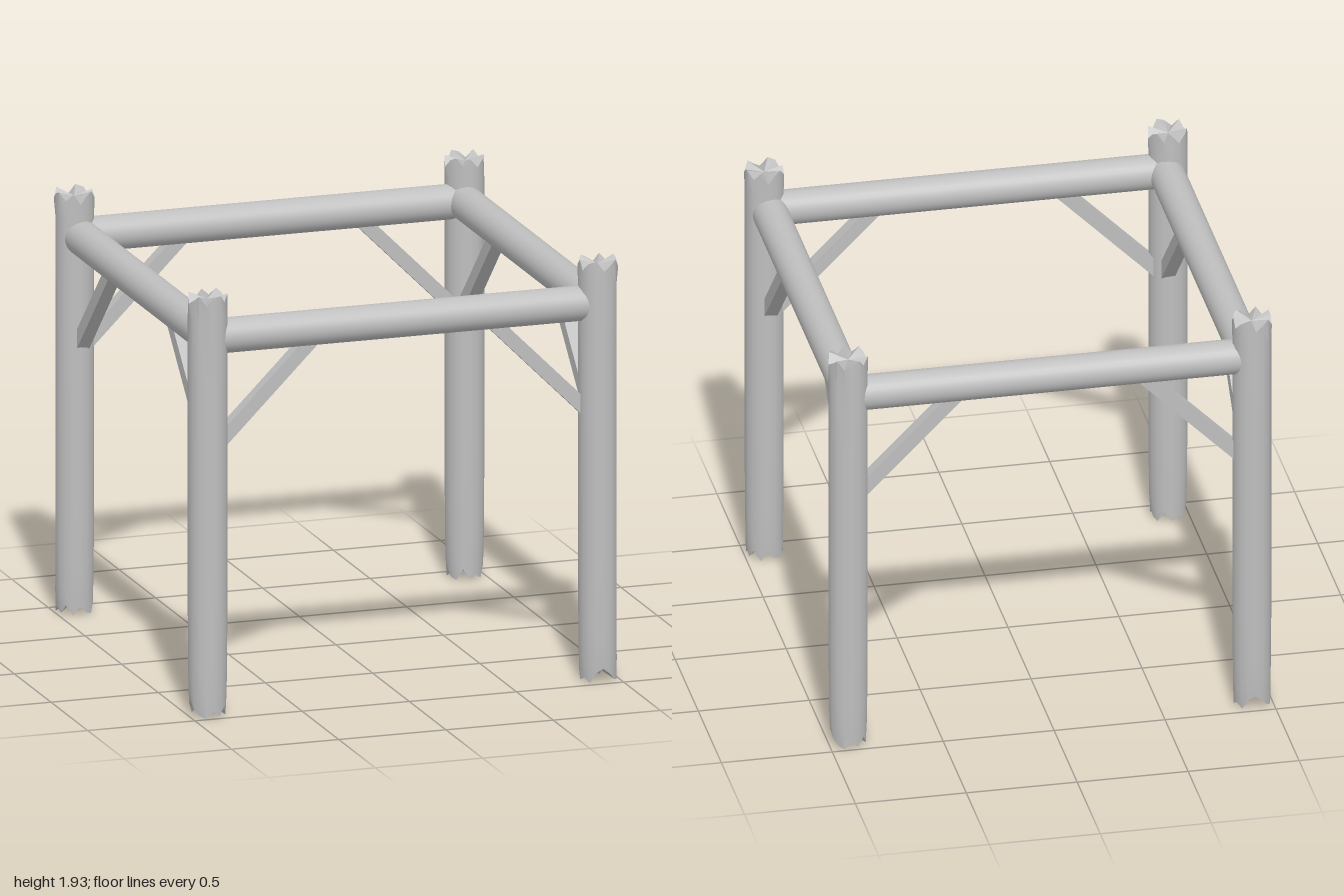
import * as THREE from 'three';
import { toCreasedNormals } from 'three/addons/utils/BufferGeometryUtils.js';

const SIDES = 16;
// offsets of the splintered rims, around the post
const TOP_JAG = [-0.02, 0.0, 0.025, -0.015, 0.015, 0.025, -0.01, 0.02, -0.025, 0.01, 0.025, -0.01, 0.02, -0.02, 0.015, 0.025];
const BOTTOM_JAG = [0.035, 0.01, -0.02, -0.03, 0.0, -0.025, 0.015, -0.03, 0.01, -0.02, -0.03, 0.02, -0.025, -0.01, -0.03, 0.02];

// Log post: lathed trunk with splintered ends and a long shallow crack
function postGeometry() {
  const profile = [[0, 0.05], [0.081, 0.03], [0.084, 0.1], [0.086, 0.22], [0.088, 0.5], [0.088, 1.5],
    [0.088, 1.82], [0.086, 1.905], [0, 1.9]].map(([r, y]) => new THREE.Vector2(r, y));
  const geo = new THREE.LatheGeometry(profile, SIDES);
  const pos = geo.attributes.position;
  const rows = profile.length;
  for (let i = 0; i < pos.count; i++) {
    const row = i % rows;
    const col = Math.floor(i / rows) % SIDES;
    let scale = 1;
    if (row === 1) {
      pos.setY(i, pos.getY(i) + BOTTOM_JAG[col]);
      scale += BOTTOM_JAG[(col + 5) % SIDES];
    } else if (row === rows - 2) {
      pos.setY(i, pos.getY(i) + TOP_JAG[col]);
      scale += 2 * TOP_JAG[(col + 7) % SIDES];
    } else if (col === 3 && row > 2) {
      scale = 0.95;
    }
    pos.setX(i, pos.getX(i) * scale);
    pos.setZ(i, pos.getZ(i) * scale);
  }
  return toCreasedNormals(geo, 0.6);
}

export function createModel() {
  const model = new THREE.Group();
  model.name = 'logFrame';
  const wood = new THREE.MeshStandardMaterial({ color: 0xbfbfbf });
  wood.name = 'palegrey';

  const postGeo = postGeometry();
  const beamGeo = new THREE.CylinderGeometry(0.079, 0.079, 1.8, 32);
  const braceGeo = new THREE.BoxGeometry(0.65, 0.062, 0.06);

  const add = (parent, name, geo, x, y, z, tilt = 0) => {
    const mesh = new THREE.Mesh(geo, wood);
    mesh.name = name;
    mesh.position.set(x, y, z);
    mesh.rotation.z = tilt;
    parent.add(mesh);
  };

  // Four identical sides, each with a post, a beam and two corner braces
  for (let k = 0; k < 4; k++) {
    const side = new THREE.Group();
    side.name = 'side' + (k + 1);
    side.rotation.y = k * Math.PI / 2;
    add(side, 'post', postGeo, 0.91, 0, 0.91);
    add(side, 'beam', beamGeo, 0, 1.722, 0.895, Math.PI / 2);
    for (const s of [-1, 1]) {
      add(side, 'brace', braceGeo, s * 0.63, 1.465, 0.895, -s * Math.PI / 4);
    }
    model.add(side);
  }
  return model;
}
